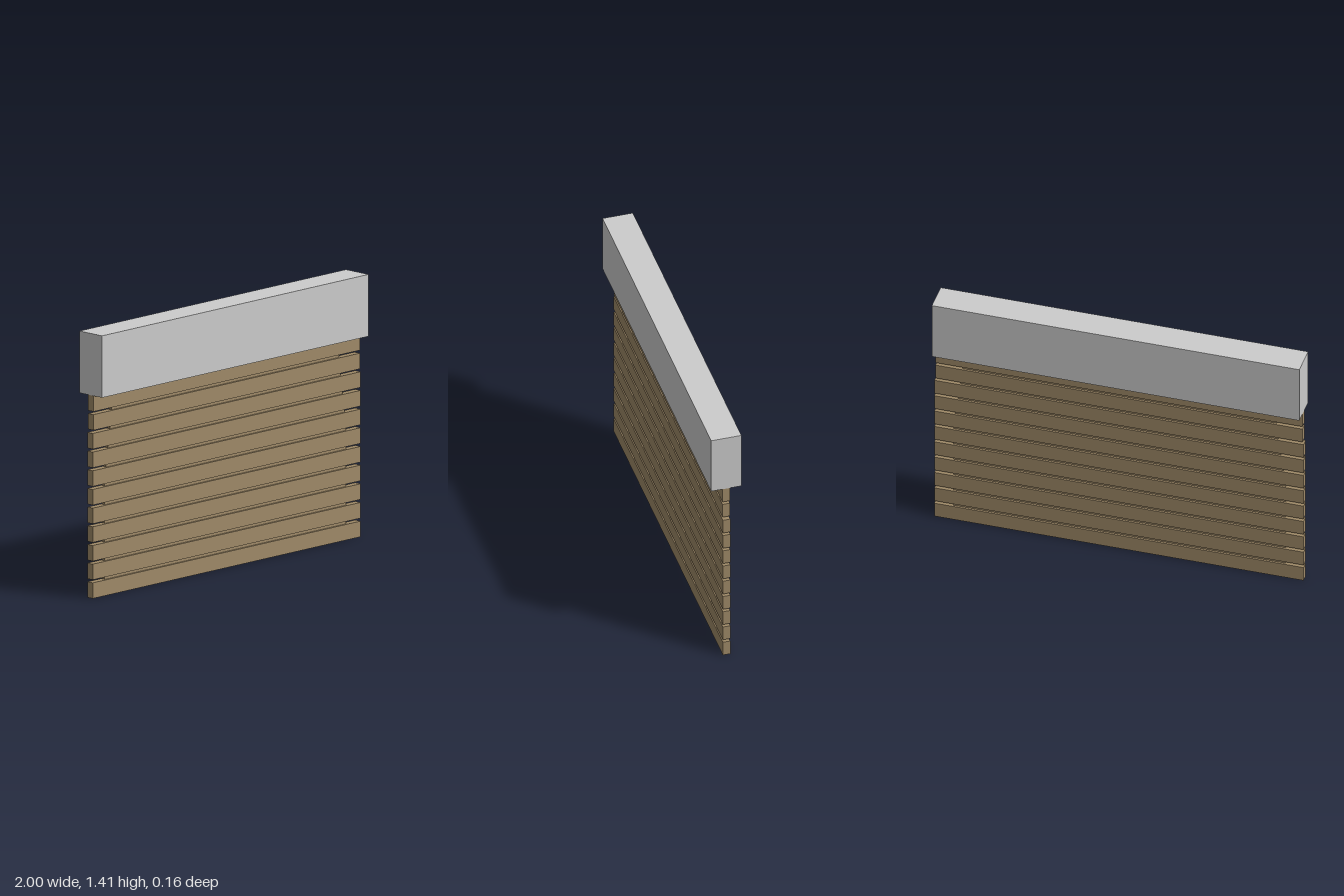
import * as THREE from 'three';

export function createModel() {
  const model = new THREE.Group();
  const grey = new THREE.MeshStandardMaterial({ color: 0xcccccc });
  const wood = new THREE.MeshStandardMaterial({ color: 0x9f8a68 });

  // Box centred on x and z, given its bottom and top heights
  function addBox(name, width, bottom, top, depth, material) {
    const mesh = new THREE.Mesh(new THREE.BoxGeometry(width, top - bottom, depth), material);
    mesh.name = name;
    mesh.position.y = (bottom + top) / 2;
    model.add(mesh);
  }

  // Housing that the shutter rolls into
  addBox('housing', 1.99, 1.08, 1.41, 0.164, grey);

  // Horizontal slats, joined by thinner, shorter hinge strips
  const slatCount = 11, pitch = 0.0996, slatHeight = 0.0835;
  // Hinge half-widths shrink towards the top
  const hingeHalf = [0.9, 0.9, 0.9, 0.9, 0.9, 0.9, 0.89, 0.875, 0.86, 0.85];
  for (let i = 0; i < slatCount; i++) {
    const bottom = i * pitch;
    const top = bottom + slatHeight;
    const width = i < slatCount - 2 ? 2 : 1.988;
    addBox(`slat${i + 1}`, width, bottom, top, 0.04, wood);
    if (i < slatCount - 1) {
      addBox(`hinge${i + 1}`, hingeHalf[i] * 2, top, bottom + pitch, 0.018, wood);
    }
  }
  return model;
}
